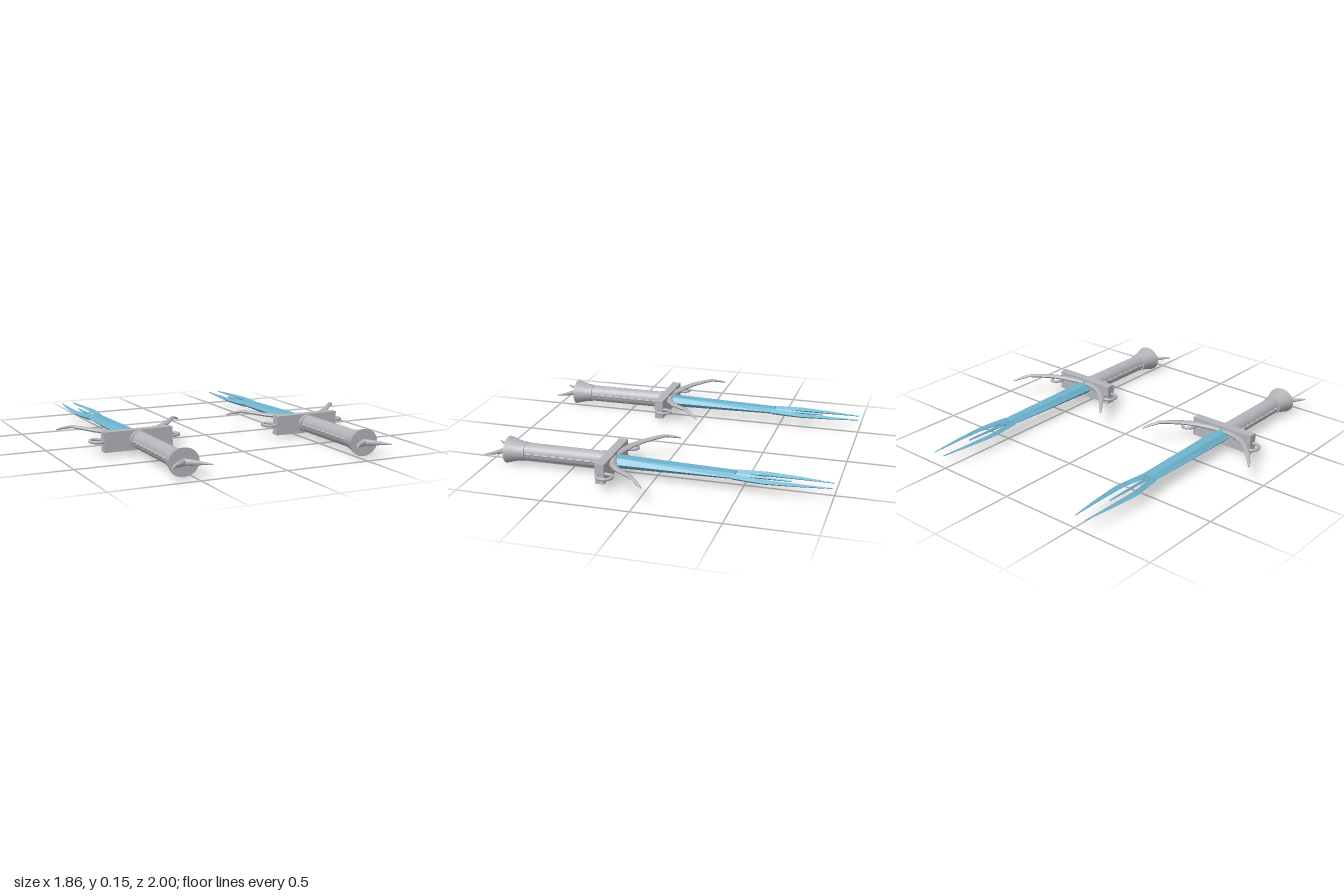
import * as THREE from 'three';
import { toCreasedNormals } from 'three/addons/utils/BufferGeometryUtils.js';

const steel = new THREE.MeshStandardMaterial({ color: 0xb4b5ba });
steel.name = 'steel grey';
const blue = new THREE.MeshStandardMaterial({ color: 0x6eb3ce });
blue.name = 'blade blue';

const CY = 0.078; // height of the sword axis

// Cross-section outlines, counter-clockwise, in unit size
const DIAMOND = [[1, 0], [0, 1], [-1, 0], [0, -1]];
const BLADE = [[1, 0], [0.5, 1], [-0.5, 1], [-1, 0], [-0.5, -1], [0.5, -1]];
const ROUND = Array.from({ length: 8 }, (_, i) => [Math.cos(i * Math.PI / 4), Math.sin(i * Math.PI / 4)]);

// Sweep an outline along stations [x, y, z, half width, half height]
function sweep(stations, ring, crease) {
  const pos = [], idx = [], n = ring.length, m = stations.length;
  stations.forEach(([x, y, z, w, h], k) => {
    const a = stations[Math.max(k - 1, 0)], b = stations[Math.min(k + 1, m - 1)];
    const dx = b[0] - a[0], dz = b[2] - a[2], l = Math.hypot(dx, dz);
    for (const [u, v] of ring) pos.push(x + u * w * dz / l, y + v * h, z - u * w * dx / l);
  });
  for (let k = 0; k < m - 1; k++) {
    for (let i = 0; i < n; i++) {
      const a = k * n + i, b = k * n + (i + 1) % n;
      idx.push(a, b, b + n, a, b + n, a + n);
    }
  }
  const e = (m - 1) * n;
  for (let i = 1; i < n - 1; i++) idx.push(0, i + 1, i, e, e + i, e + i + 1);
  const g = new THREE.BufferGeometry();
  g.setAttribute('position', new THREE.Float32BufferAttribute(pos, 3));
  g.setIndex(idx);
  return toCreasedNormals(g, crease);
}

function createSword() {
  const sword = new THREE.Group();
  const add = (name, geo, mat, x = 0, y = 0, z = 0) => {
    const mesh = new THREE.Mesh(geo, mat);
    mesh.name = name;
    mesh.position.set(x, y, z);
    sword.add(mesh);
    return mesh;
  };
  // Lathe along z: profile of [radius, z], squashed to an ellipse
  const turned = (name, profile, sx, sy) => {
    const g = new THREE.LatheGeometry(profile.map(p => new THREE.Vector2(p[0], p[1])), 28);
    g.rotateX(Math.PI / 2);
    g.scale(sx, sy, 1);
    return add(name, toCreasedNormals(g, 0.6), steel, 0, CY, 0);
  };

  // Blade with bevelled edges
  add('blade', sweep([[0, 0.08, 0.25, 0.058, 0.031], [0, 0.079, -0.46, 0.051, 0.017]], BLADE, 0.1), blue);
  add('centreProng', sweep([
    [0, CY, -0.45, 0.012, 0.012], [0, CY, -0.6, 0.008, 0.009], [0, CY, -0.77, 0.005, 0.005],
  ], DIAMOND, 0.1), blue);

  // Handle
  turned('grip', [[0, 0.28], [0.052, 0.28], [0.052, 0.79], [0, 0.79]], 0.94, 1);
  turned('gripCollar', [[0, 0.28], [0.058, 0.28], [0.058, 0.308], [0, 0.308]], 1, 0.94);
  turned('pommel', [[0, 0.778], [0.06, 0.778], [0.064, 0.81], [0.074, 0.85], [0.085, 0.88], [0.088, 0.892], [0, 0.892]], 1, 0.88);

  // Crossguard
  add('crossguard', new THREE.BoxGeometry(0.41, 0.115, 0.053), steel, 0, CY, 0.258);

  for (const s of [1, -1]) {
    // Split tip of the blade
    add('outerProng', sweep([
      [s * 0.032, CY, -0.45, 0.023, 0.018], [s * 0.048, CY, -0.55, 0.021, 0.016],
      [s * 0.058, CY, -0.64, 0.021, 0.014], [s * 0.05, CY, -0.82, 0.014, 0.009],
      [s * 0.037, CY, -1, 0.003, 0.003],
    ], DIAMOND, 0.1), blue);

    // Beads along the sides of the grip
    for (let i = 0; i < 9; i++) {
      const bead = new THREE.SphereGeometry(1, 8, 6);
      bead.scale(0.011, 0.009, 0.027);
      add('gripBead', bead, steel, s * 0.048, CY, 0.335 + i * 0.052);
    }

    // Curved horns of the guard
    add('guardHorn', sweep([
      [s * 0.01, 0.108, 0.238, 0.014, 0.013], [s * 0.08, 0.112, 0.222, 0.019, 0.013],
      [s * 0.15, 0.118, 0.195, 0.021, 0.013], [s * 0.215, 0.125, 0.15, 0.019, 0.012],
      [s * 0.27, 0.132, 0.092, 0.016, 0.011], [s * 0.315, 0.136, 0.04, 0.013, 0.009],
      [s * 0.355, 0.12, -0.01, 0.01, 0.007], [s * 0.378, 0.108, -0.038, 0.006, 0.004],
    ], ROUND, 0.8), steel);

    // Small loop at each end of the guard
    const loop = new THREE.CatmullRomCurve3([
      [0.19, 0.266], [0.228, 0.266], [0.256, 0.25], [0.266, 0.22],
      [0.254, 0.19], [0.225, 0.175], [0.198, 0.19], [0.188, 0.24],
    ].map(([x, z]) => new THREE.Vector3(s * x, CY, z)));
    add('guardLoop', new THREE.TubeGeometry(loop, 28, 0.0095, 8), steel);

    // Forked spike behind the pommel
    add('pommelSpike', sweep([
      [-s * 0.008, CY, 0.884, 0.018, 0.021], [s * 0.03, CY, 0.914, 0.017, 0.017],
      [s * 0.072, CY, 0.946, 0.011, 0.011], [s * 0.112, CY, 0.997, 0.004, 0.003],
    ], ROUND, 0.8), steel);
  }
  return sword;
}

export function createModel() {
  const model = new THREE.Group();
  model.name = 'swordPair';
  for (const s of [1, -1]) {
    const sword = createSword();
    sword.name = s > 0 ? 'leftSword' : 'rightSword';
    sword.position.x = s * 0.545;
    model.add(sword);
  }
  return model;
}
